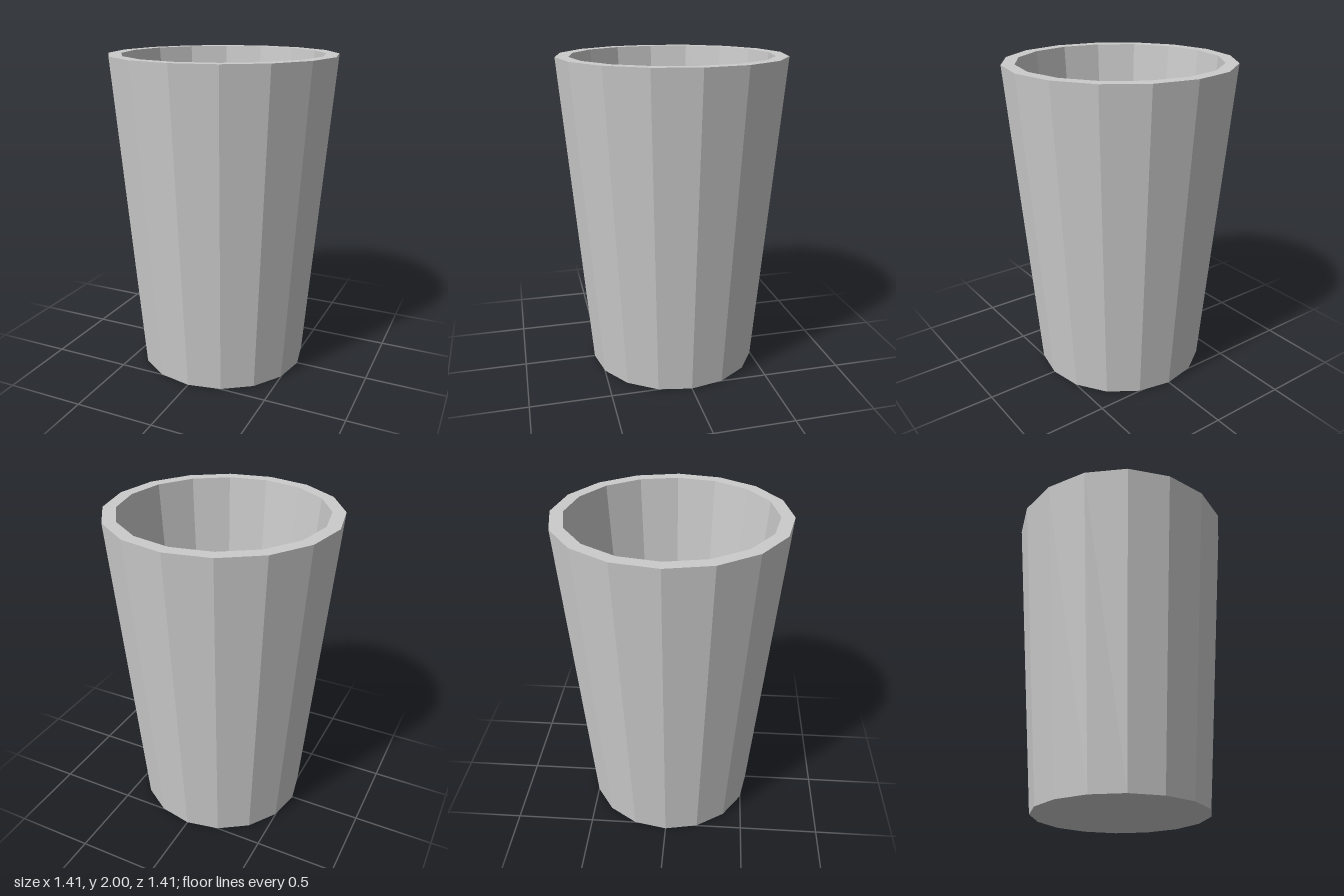
import * as THREE from 'three';

const SIDES = 16;

// Faceted solid of revolution from [radius, height] pairs
function turned(name, profile, material) {
  const points = profile.map(([r, y]) => new THREE.Vector2(r, y));
  const mesh = new THREE.Mesh(new THREE.LatheGeometry(points, SIDES), material);
  mesh.name = name;
  return mesh;
}

export function createModel() {
  const group = new THREE.Group();
  group.name = 'cup';
  const grey = new THREE.MeshStandardMaterial({ color: 0xcccccc, flatShading: true });

  const fillHeight = 1.42;
  const fillRadius = 0.577;

  // Base, tapered outer wall, flat rim and inner wall
  group.add(turned('cupWall', [
    [0, 0], [0.54, 0], [0.705, 2], [0.625, 2], [fillRadius, fillHeight],
  ], grey));

  // Flat surface closing the inside
  group.add(turned('innerSurface', [[fillRadius, fillHeight], [0, fillHeight]], grey));

  return group;
}
